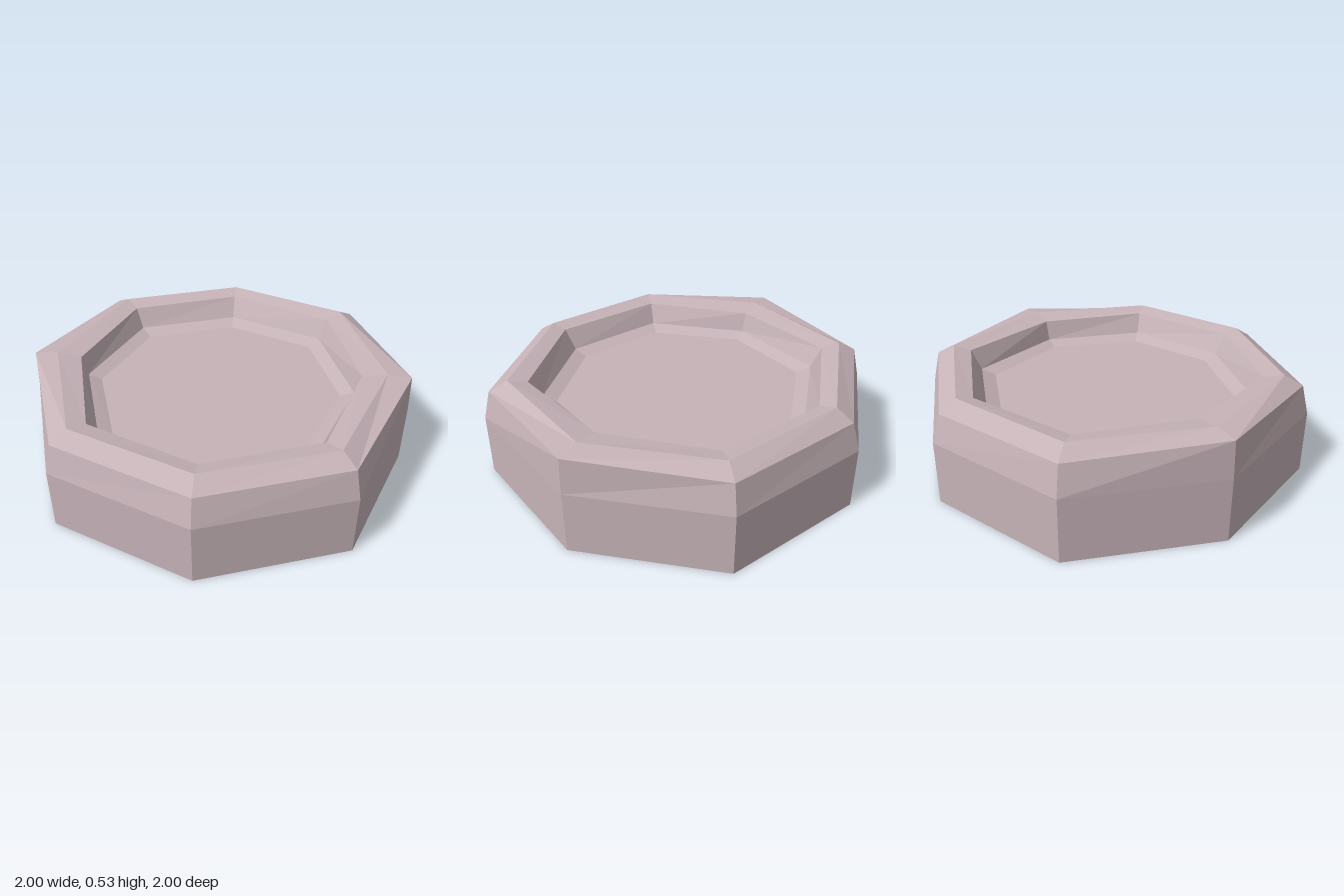
import * as THREE from 'three';

// Octagonal ring: x and z are corner distances along the axes, d is the
// x and z of the diagonal corners, yx, yz and yd are the corner heights.
function ring(x, z, d, yx, yz = yx, yd = yx) {
  return [
    [x, yx, 0], [d, yd, -d], [0, yz, -z], [-d, yd, -d],
    [-x, yx, 0], [-d, yd, d], [0, yz, z], [d, yd, d],
  ];
}

// Surface through successive rings, optionally closed at either end
function loft(rings, capStart, capEnd) {
  const pos = [];
  const tri = (...corners) => corners.forEach((c) => pos.push(...c));
  const last = rings[rings.length - 1];
  for (let i = 0; i < 8; i++) {
    const j = (i + 1) % 8;
    for (let k = 0; k < rings.length - 1; k++) {
      const a = rings[k], b = rings[k + 1];
      tri(a[i], a[j], b[j]);
      tri(a[i], b[j], b[i]);
    }
    if (capStart) tri([0, rings[0][0][1], 0], rings[0][j], rings[0][i]);
    if (capEnd) tri([0, last[0][1], 0], last[i], last[j]);
  }
  const geometry = new THREE.BufferGeometry();
  geometry.setAttribute('position', new THREE.Float32BufferAttribute(pos, 3));
  geometry.computeVertexNormals();
  return geometry;
}

export function createModel() {
  const group = new THREE.Group();
  group.name = 'octagonalDish';
  const stone = new THREE.MeshStandardMaterial({ color: 0xc6b3b8 });
  stone.name = 'mauve stone';

  const base = ring(1, 1, 0.727, 0);
  const wallBend = ring(1, 1, 0.727, 0.33);
  const shoulder = ring(0.992, 0.957, 0.7, 0.52, 0.475, 0.482);
  const ridge = ring(0.868, 0.866, 0.632, 0.532);
  const innerRim = ring(0.742, 0.78, 0.561, 0.512);
  const wallFoot = ring(0.712, 0.715, 0.522, 0.405);
  const floorEdge = ring(0.642, 0.64, 0.467, 0.378);

  const add = (name, rings, capStart, capEnd) => {
    const mesh = new THREE.Mesh(loft(rings, capStart, capEnd), stone);
    mesh.name = name;
    group.add(mesh);
  };

  // Outer wall with closed underside
  add('outerWall', [base, wallBend, shoulder], true, false);
  // Bevelled rim, rising to a ridge and dipping inwards
  add('rim', [shoulder, ridge, innerRim], false, false);
  // Recess with steep sides, bevelled foot and flat floor
  add('recess', [innerRim, wallFoot, floorEdge], false, true);

  return group;
}
